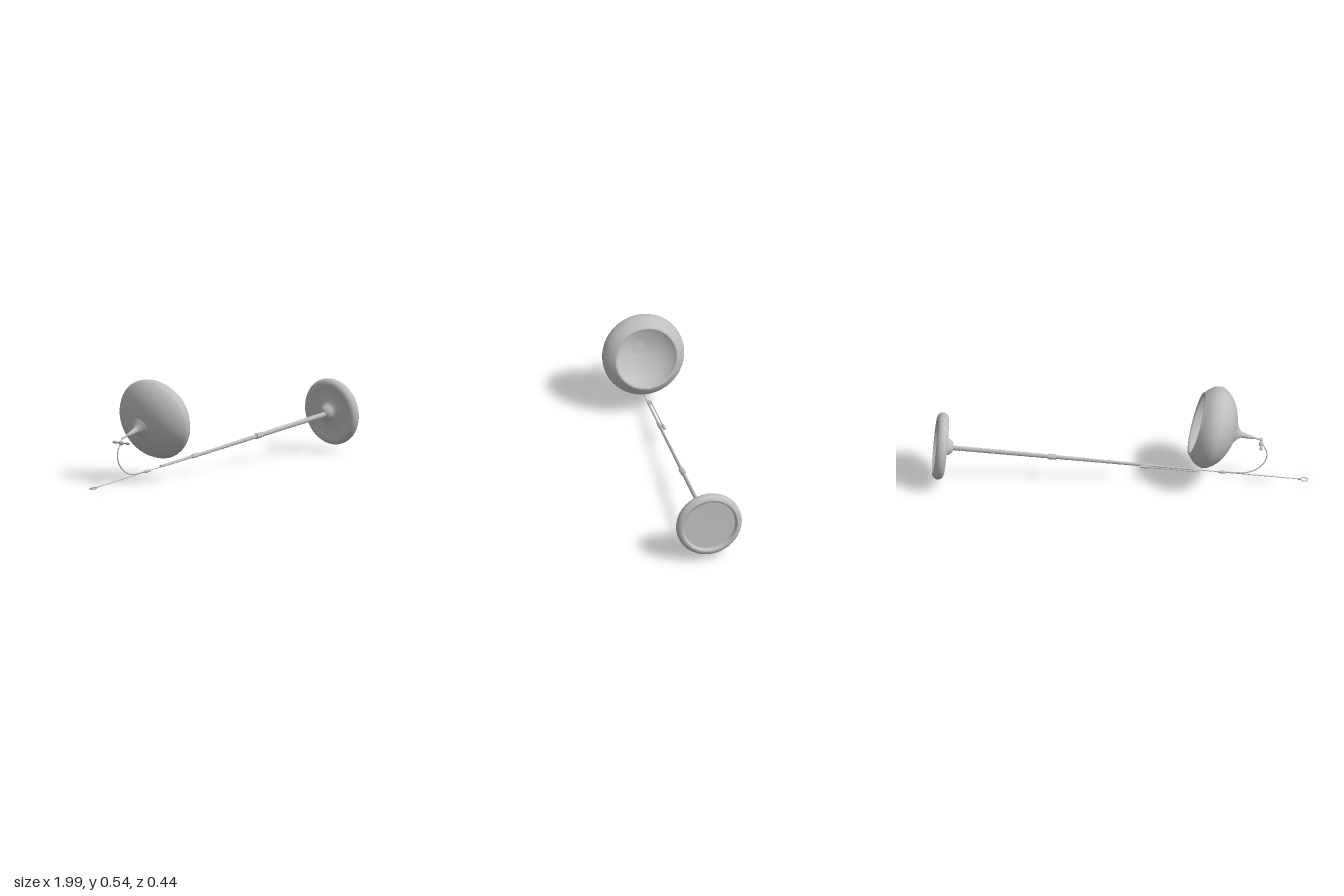
import * as THREE from 'three';

const metal = new THREE.MeshStandardMaterial({ color: 0xbfbfbf, side: THREE.DoubleSide });
metal.name = 'grey metal';

const pts = (list) => list.map(([r, s]) => new THREE.Vector2(r, s));

function add(parent, name, geometry, x = 0, y = 0, z = 0) {
  const m = new THREE.Mesh(geometry, metal);
  m.name = name;
  m.position.set(x, y, z);
  parent.add(m);
  return m;
}

// Turned part whose axis runs along +x; profile is [radius, distance along x]
function turned(parent, name, profile, sides, x = 0, y = 0, z = 0) {
  const g = new THREE.LatheGeometry(pts(profile), sides);
  g.rotateZ(-Math.PI / 2);
  return add(parent, name, g, x, y, z);
}

// Straight rod along x between x0 and x1
function rod(parent, name, x0, x1, r0, r1 = r0, y = 0, z = 0) {
  const g = new THREE.CylinderGeometry(r1, r0, x1 - x0, 12);
  g.rotateZ(-Math.PI / 2);
  return add(parent, name, g, (x0 + x1) / 2, y, z);
}

// Ribbed tube along x, slightly taller than wide
function ribbed(parent, name, x0, x1, r0, r1) {
  const n = Math.round((x1 - x0) / 0.01);
  const profile = [[0, x0]];
  for (let i = 0; i <= n; i++) {
    const t = i / n;
    profile.push([(r0 + (r1 - r0) * t) * (i % 2 ? 0.86 : 1), x0 + (x1 - x0) * t]);
  }
  profile.push([0, x1]);
  turned(parent, name, profile, 14).scale.z = 0.75;
}

export function createModel() {
  const lamp = new THREE.Group();
  lamp.name = 'floorLamp';

  // Pole and base share one gently tilted axis
  const pole = new THREE.Group();
  pole.name = 'poleAndBase';
  pole.position.set(0, 0.11, -0.006);
  pole.rotation.z = Math.atan(0.105);
  lamp.add(pole);

  // Dished base with rounded rim and a central boss
  const base = [[0.018, -0.068], [0.028, -0.064], [0.04, -0.05], [0.045, -0.038], [0.06, -0.03],
    [0.09, -0.024], [0.115, -0.023]];
  for (let i = 0; i <= 12; i++) {
    const a = -2.0 + (i / 12) * 3.7;
    base.push([0.149 + 0.03 * Math.cos(a), 0.03 * Math.sin(a)]);
  }
  base.push([0.141, 0.012], [0.139, 0.01], [0, 0.01]);
  turned(pole, 'base', base, 40, 0.956, 0.004);

  // Telescopic tubes, joints and thin end rod
  ribbed(pole, 'lowerTube', 0.36, 0.895, 0.0125, 0.015);
  ribbed(pole, 'middleTube', -0.17, 0.36, 0.009, 0.012);
  rod(pole, 'tubeJoint', 0.34, 0.38, 0.015);
  rod(pole, 'upperJoint', -0.18, -0.14, 0.009, 0.011);
  rod(pole, 'upperRod', -0.41, -0.17, 0.005, 0.006);
  rod(pole, 'endRod', -0.965, -0.4, 0.0025);
  const ring = new THREE.TorusGeometry(0.018, 0.0028, 8, 24);
  ring.rotateX(Math.PI / 2);
  add(pole, 'endRing', ring, -0.983, 0, 0);
  rod(pole, 'ringSleeve', -0.968, -0.945, 0.005);

  // Side rod with its clamp
  rod(pole, 'sideRod', -0.42, -0.11, 0.0035, 0.0035, 0, -0.018);
  rod(pole, 'sideClamp', -0.15, -0.11, 0.008, 0.008, 0, -0.018);
  rod(pole, 'lowerClamp', -0.42, -0.39, 0.007, 0.007, 0, -0.008);
  rod(pole, 'neckSleeve', -0.56, -0.525, 0.0075);

  // Curved neck sweeping back up to the shade
  const neck = new THREE.CatmullRomCurve3([
    [-0.53, 0.057], [-0.6, 0.05], [-0.67, 0.05], [-0.73, 0.075], [-0.77, 0.12],
    [-0.78, 0.165], [-0.768, 0.205], [-0.75, 0.227],
  ].map(([x, y]) => new THREE.Vector3(x, y, -0.006)));
  add(lamp, 'curvedNeck', new THREE.TubeGeometry(neck, 48, 0.0032, 8));

  // Wing key at the swivel
  const key = new THREE.Group();
  key.name = 'wingKey';
  key.position.set(-0.75, 0.227, -0.006);
  lamp.add(key);
  add(key, 'swivel', new THREE.SphereGeometry(0.013, 16, 12));
  const bar = new THREE.CylinderGeometry(0.0045, 0.0045, 0.1, 10);
  bar.rotateX(Math.PI / 2);
  add(key, 'keyBar', bar);
  for (const side of [-1, 1]) {
    add(key, 'keyWing', new THREE.SphereGeometry(0.016, 14, 10), 0, 0, side * 0.044).scale.set(0.6, 0.5, 1);
  }

  // Shade, axis along its own +x, mouth at the origin
  const shade = new THREE.Group();
  shade.name = 'shade';
  shade.position.set(-0.41, 0.35, 0);
  shade.rotation.z = 0.285;
  lamp.add(shade);
  const outer = new THREE.SplineCurve(pts([
    [0.04, -0.213], [0.087, -0.2], [0.13, -0.183], [0.166, -0.162], [0.198, -0.132],
    [0.218, -0.1], [0.222, -0.078], [0.214, -0.048], [0.195, -0.022], [0.17, 0],
  ])).getPoints(24).map((p) => [p.x, p.y]);
  turned(shade, 'shadeShell', outer, 48);
  const inner = outer.map(([r, s]) => [Math.max(r - 0.009, 0), s + 0.004 * (s < -0.1 ? 1 : 0)]);
  turned(shade, 'shadeLining', [[0, -0.208], ...inner].reverse(), 48);
  turned(shade, 'shadeRim', [[0.17, 0], [0.171, 0.003], [0.16, 0.003], [0.158, -0.006]], 48);
  // Flared cap and stem behind the shade
  turned(shade, 'shadeCap', [[0.014, -0.25], [0.018, -0.24], [0.028, -0.228], [0.045, -0.216],
    [0.055, -0.209]], 32);
  turned(shade, 'shadeStem', [[0, -0.315], [0.007, -0.315], [0.009, -0.3], [0.016, -0.25],
    [0.016, -0.235]], 20);
  rod(shade, 'stemPin', -0.355, -0.31, 0.005);
  return lamp;
}
